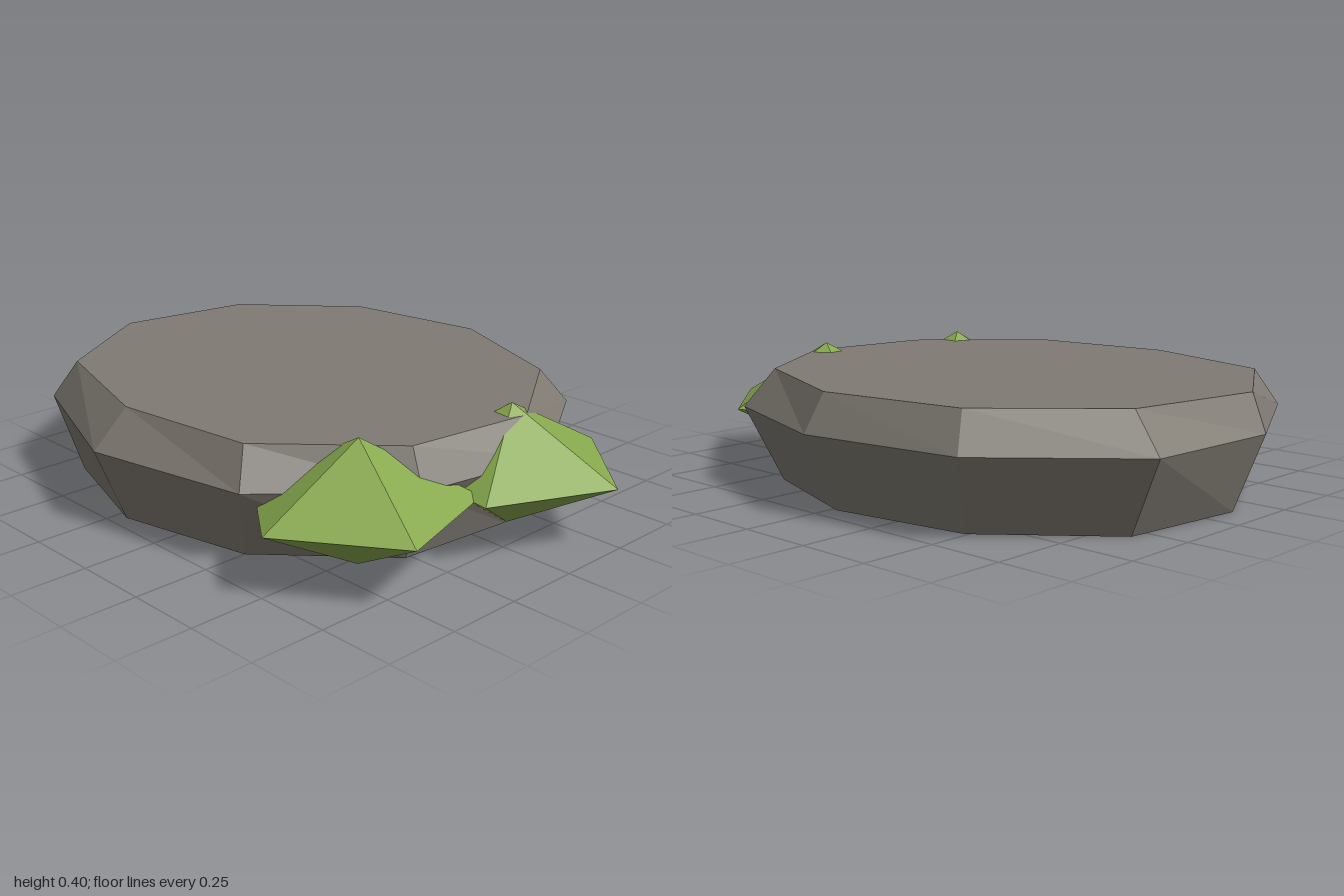
import * as THREE from 'three';

const stone = new THREE.MeshStandardMaterial({ color: 0x7f7a72, flatShading: true });
stone.name = 'stone grey';
const leaf = new THREE.MeshStandardMaterial({ color: 0x86a84c, flatShading: true });
leaf.name = 'leaf green';

// Irregular ten-sided outlines [x, z] with their heights
const rings = [
  { y: 0, points: [[-0.9, 0.12], [-0.85, -0.31], [-0.49, -0.61], [-0.02, -0.68], [0.42, -0.53],
    [0.64, -0.14], [0.6, 0.27], [0.25, 0.6], [-0.21, 0.7], [-0.65, 0.56]] },
  { y: 0.25, points: [[-1, 0.13], [-0.98, -0.36], [-0.57, -0.72], [-0.02, -0.8], [0.49, -0.63],
    [0.77, -0.17], [0.69, 0.3], [0.34, 0.69], [-0.22, 0.8], [-0.75, 0.6]] },
  { y: 0.37, points: [[-0.95, 0.13], [-0.87, -0.33], [-0.52, -0.65], [-0.03, -0.73], [0.44, -0.54],
    [0.69, -0.16], [0.63, 0.28], [0.28, 0.62], [-0.21, 0.68], [-0.7, 0.53]] },
];

// Joins the outlines into a closed solid
function loftRings(rings) {
  const n = rings[0].points.length;
  const last = (rings.length - 1) * n;
  const positions = rings.flatMap(({ y, points }) => points.flatMap(([x, z]) => [x, y, z]));
  const index = [];
  for (let r = 0; r < rings.length - 1; r++) {
    for (let i = 0; i < n; i++) {
      const a = r * n + i;
      const b = r * n + (i + 1) % n;
      index.push(b, a, b + n, a, a + n, b + n);
    }
  }
  // Flat caps below and above
  for (let i = 1; i < n - 1; i++) {
    index.push(0, i, i + 1);
    index.push(last, last + i + 1, last + i);
  }
  const geometry = new THREE.BufferGeometry();
  geometry.setAttribute('position', new THREE.Float32BufferAttribute(positions, 3));
  geometry.setIndex(index);
  geometry.computeVertexNormals();
  return geometry;
}

// Five-sided double pyramid with one corner pointing at the given angle
function makeBush(name, x, z, degrees) {
  const bush = new THREE.Mesh(new THREE.SphereGeometry(0.365, 5, 2), leaf);
  bush.name = name;
  bush.scale.y = 0.2 / 0.365;
  bush.position.set(x, 0.2, z);
  bush.rotation.y = THREE.MathUtils.degToRad(180 - degrees);
  return bush;
}

export function createModel() {
  const model = new THREE.Group();
  model.name = 'flatRockWithBushes';

  const rock = new THREE.Mesh(loftRings(rings), stone);
  rock.name = 'rock';
  model.add(rock);

  model.add(makeBush('backBush', 0.64, -0.15, -11));
  model.add(makeBush('frontBush', 0.53, 0.4, 19));
  return model;
}
